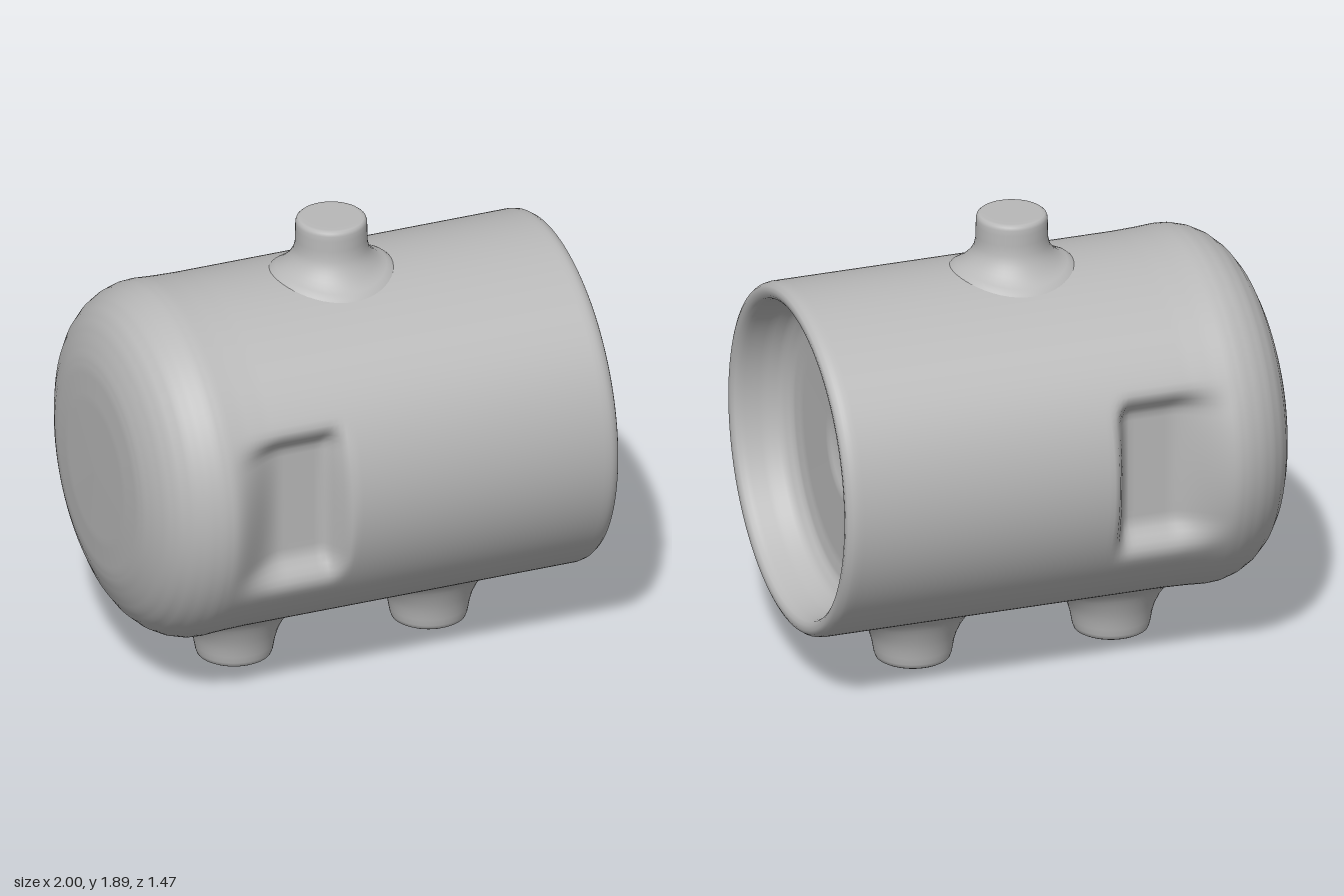
import * as THREE from 'three';
import { mergeVertices } from 'three/addons/utils/BufferGeometryUtils.js';

const AXIS_Y = 0.94; // height of the barrel's axis
const RADIUS = 0.73;
const step = THREE.MathUtils.smoothstep;

// Subdivide a profile of [radius, height] pairs into short straight pieces
function subdivide(pairs, maxStep) {
  const out = [];
  pairs.forEach(([r, h], i) => {
    const p = new THREE.Vector2(r, h);
    if (i > 0) {
      const q = new THREE.Vector2(...pairs[i - 1]);
      const n = Math.ceil(q.distanceTo(p) / maxStep);
      for (let k = 1; k < n; k++) out.push(q.clone().lerp(p, k / n));
    }
    out.push(p);
  });
  return out;
}

// Move every vertex by a rule
function deform(geometry, rule) {
  const pos = geometry.attributes.position;
  const v = new THREE.Vector3();
  for (let i = 0; i < pos.count; i++) {
    v.fromBufferAttribute(pos, i);
    rule(v);
    pos.setXYZ(i, v.x, v.y, v.z);
  }
}

// Weld the seam and smooth the normals
function smooth(geometry) {
  geometry.deleteAttribute('uv');
  geometry.deleteAttribute('normal');
  const welded = mergeVertices(geometry, 1e-4);
  welded.computeVertexNormals();
  return welded;
}

// Barrel: domed closed end, straight wall, rounded rim, recessed open end
function bodyGeometry() {
  const profile = [
    [0, -1], [0.3, -0.997], [0.42, -0.988], [0.47, -0.978], [0.53, -0.957], [0.59, -0.93],
    [0.64, -0.895], [0.685, -0.845], [0.715, -0.79], [0.732, -0.73], [0.735, -0.68],
    [0.73, -0.6], [0.727, -0.5], [0.727, 0.95], [0.722, 0.975], [0.71, 0.993], [0.695, 1],
    [0.675, 0.997], [0.66, 0.985], [0.653, 0.965], [0.64, 0.87], [0.615, 0.805],
    [0.57, 0.768], [0.5, 0.755], [0.21, 0.75], [0.17, 0.735], [0.1, 0.718], [0, 0.713],
  ];
  const geometry = new THREE.LatheGeometry(subdivide(profile, 0.022), 160);
  geometry.rotateZ(-Math.PI / 2);
  // Press a hand-hold hollow into the front and the back
  deform(geometry, (v) => {
    if (v.x > 0 || v.x < -0.8) return;
    const alongX = step(v.x, -0.69, -0.42) * (1 - step(v.x, -0.25, -0.16));
    const alongY = step(v.y, -0.38, -0.22) * (1 - step(v.y, 0.25, 0.37));
    const floor = 0.575;
    if (Math.abs(v.z) > floor) {
      v.z = THREE.MathUtils.lerp(v.z, Math.sign(v.z) * floor, alongX * alongY);
    }
  });
  return smooth(geometry);
}

// Round stub standing on the barrel, its flared base following the curve
function stubGeometry(profile) {
  const geometry = new THREE.LatheGeometry(subdivide(profile, 0.03), 48);
  deform(geometry, (v) => {
    const sag = RADIUS - Math.sqrt(RADIUS * RADIUS - v.z * v.z);
    v.y -= sag * (1 - step(v.y, 0.73, 0.85));
  });
  return smooth(geometry);
}

export function createModel() {
  const model = new THREE.Group();
  model.name = 'barrel';
  const grey = new THREE.MeshStandardMaterial({ color: 0xb8b8b8 });
  grey.name = 'grey';

  const add = (name, geometry, x) => {
    const mesh = new THREE.Mesh(geometry, grey);
    mesh.name = name;
    mesh.position.set(x, AXIS_Y, 0);
    model.add(mesh);
    return mesh;
  };

  add('body', bodyGeometry(), 0);

  // Spout on top
  add('spout', stubGeometry([
    [0.28, 0.7], [0.245, 0.733], [0.205, 0.75], [0.175, 0.775], [0.155, 0.805], [0.147, 0.84],
    [0.145, 0.93], [0.141, 0.942], [0.133, 0.949], [0.12, 0.95], [0, 0.95],
  ]), 0.035);

  // Two feet underneath
  const foot = stubGeometry([
    [0.3, 0.7], [0.255, 0.732], [0.225, 0.75], [0.2, 0.782], [0.18, 0.82], [0.168, 0.86],
    [0.158, 0.915], [0.152, 0.932], [0.14, 0.939], [0.12, 0.94], [0, 0.94],
  ]);
  for (const [name, x] of [['rightFoot', -0.39], ['leftFoot', 0.46]]) {
    add(name, foot, x).rotation.x = Math.PI;
  }

  return model;
}
